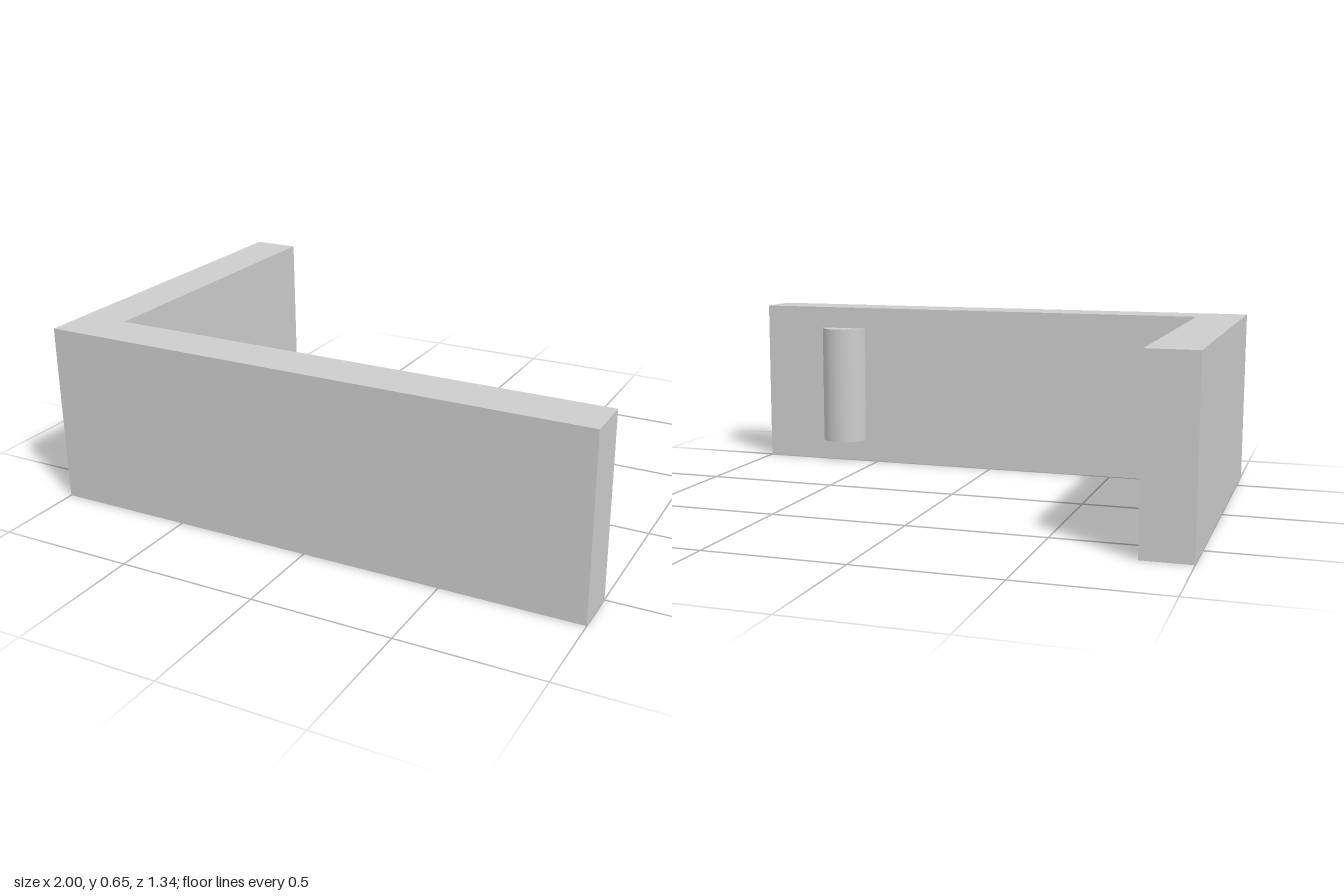
import * as THREE from 'three';
import { toCreasedNormals } from 'three/addons/utils/BufferGeometryUtils.js';

// Extrude a plan shape (x, -z) straight up from y = base
function upright(name, shape, base, height, material) {
  const extruded = new THREE.ExtrudeGeometry(shape, { depth: height, bevelEnabled: false, curveSegments: 32 });
  extruded.rotateX(-Math.PI / 2);
  extruded.translate(0, base, 0);
  const mesh = new THREE.Mesh(toCreasedNormals(extruded, 0.6), material);
  mesh.name = name;
  return mesh;
}

export function createModel() {
  const group = new THREE.Group();
  group.name = 'cornerBracket';
  const grey = new THREE.MeshStandardMaterial({ color: 0xcccccc });
  grey.name = 'light grey';

  const halfZ = 0.672, wall = 0.174, height = 0.652;
  const innerZ = halfZ - wall;

  // L-shaped wall: long front arm and shorter side arm
  const plan = new THREE.Shape([
    [-1, -halfZ], [1, -halfZ], [1, -innerZ],
    [-1 + wall, -innerZ], [-1 + wall, halfZ], [-1, halfZ],
  ].map(([x, y]) => new THREE.Vector2(x, y)));
  group.add(upright('angledWall', plan, 0, height, grey));

  // Rounded rib on the inner face of the front arm
  const radius = 0.098, sunk = 0.021;
  const start = Math.asin(sunk / radius);
  const segment = new THREE.Shape();
  segment.absarc(0.65, -innerZ - sunk, radius, start, Math.PI - start, false);
  segment.closePath();
  group.add(upright('roundedRib', segment, 0.087, 0.478, grey));

  return group;
}
